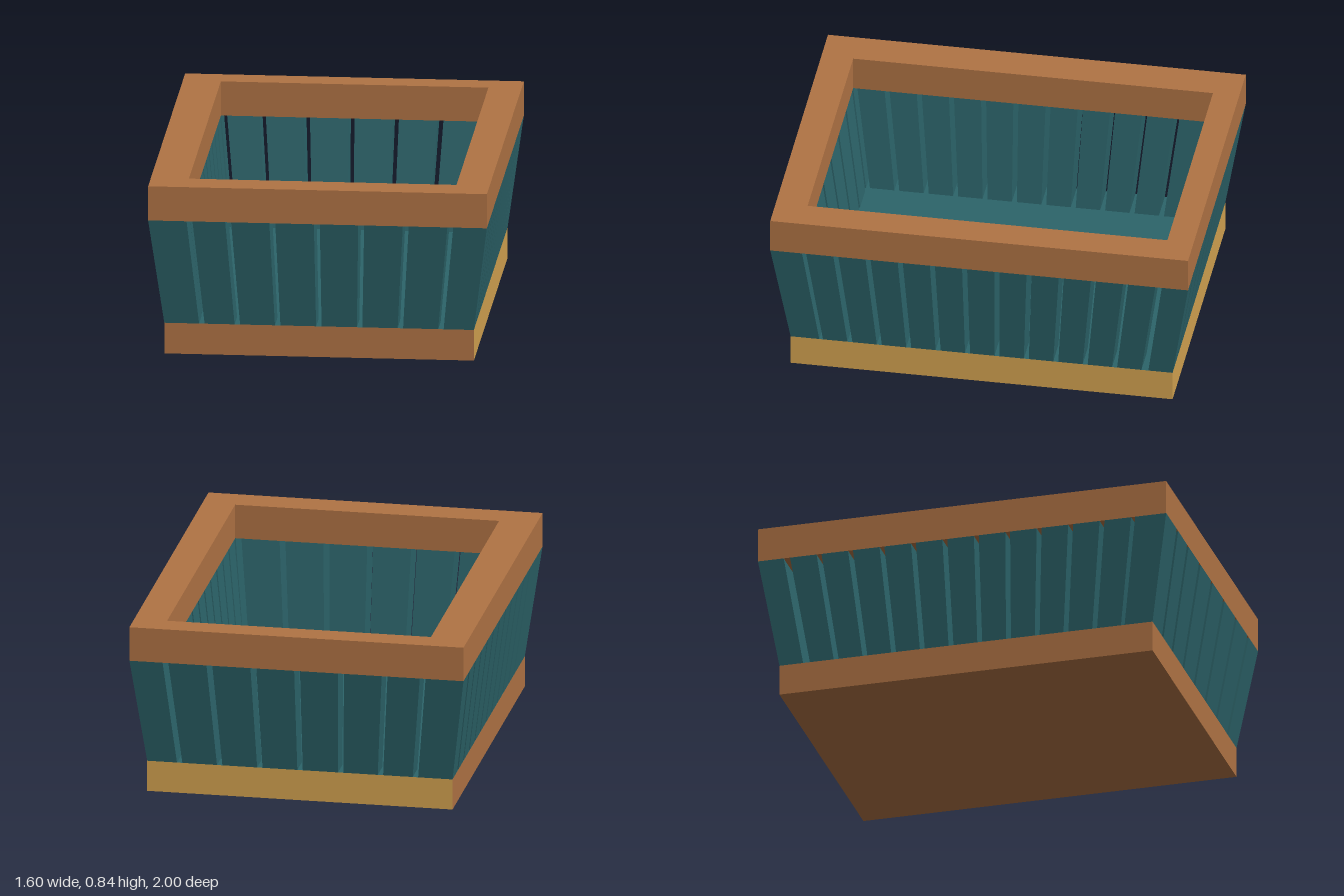
import * as THREE from 'three';

const flat = (name, color) => {
  const m = new THREE.MeshStandardMaterial({ color });
  m.name = name;
  return m;
};

export function createModel() {
  const model = new THREE.Group();
  model.name = 'slattedCrate';
  const brown = flat('brownWood', 0xb07344);
  const gold = flat('goldenWood', 0xd3a350);
  const teal = flat('tealPaint', 0x2c646a);

  const BASE_TOP = 0.15, RIM_BOTTOM = 0.673, RIM_TOP = 0.84;
  // Outer and inner outlines of the flared wall: [xMin, xMax, zMin, zMax]
  const outer = { low: [-0.733, 0.733, -0.914, 0.914], high: [-0.802, 0.802, -1, 1] };
  const inner = { low: [-0.57, 0.588, -0.798, 0.777], high: [-0.622, 0.645, -0.874, 0.848] };

  const add = (name, geometry, material, parent = model) => {
    const mesh = new THREE.Mesh(geometry, material);
    mesh.name = name;
    parent.add(mesh);
    return mesh;
  };

  // Base: golden on the left and back, brown on the other sides, teal floor
  add('base', new THREE.BoxGeometry(1.466, BASE_TOP, 1.828),
    [gold, brown, teal, brown, brown, gold]).position.y = BASE_TOP / 2;

  // Top rim: rectangular frame, slightly uneven opening
  const outline = ([x0, x1, z0, z1], Type) => new Type(
    [[x0, z1], [x1, z1], [x1, z0], [x0, z0]].map(([x, z]) => new THREE.Vector2(x, -z)));
  const frame = outline(outer.high, THREE.Shape);
  frame.holes.push(outline(inner.high, THREE.Path));
  const rimGeometry = new THREE.ExtrudeGeometry(frame,
    { depth: RIM_TOP - RIM_BOTTOM, bevelEnabled: false });
  rimGeometry.rotateX(-Math.PI / 2);
  add('rim', rimGeometry, brown).position.y = RIM_BOTTOM;

  // A leaning slat: a box whose lower and upper ends take separate rectangles
  const slat = (name, low, high, parent) => {
    const geometry = new THREE.BoxGeometry(1, 1, 1);
    const p = geometry.attributes.position;
    for (let i = 0; i < p.count; i++) {
      const top = p.getY(i) > 0, r = top ? high : low;
      p.setXYZ(i, r[p.getX(i) > 0 ? 1 : 0], top ? RIM_BOTTOM : BASE_TOP,
        r[p.getZ(i) > 0 ? 3 : 2]);
    }
    geometry.computeVertexNormals();
    add(name, geometry, teal, parent);
  };

  // Spans between neighbouring gap centres, from one wall end to the other
  const spans = (gaps, [start, end], half) => [...gaps, null].map((g, i) => [
    i ? gaps[i - 1] + half : start, g === null ? end : g - half]);
  const even = (first, last, n) =>
    Array.from({ length: n }, (_, i) => first + (last - first) * i / (n - 1));

  const xLow = spans([-0.555, -0.387, -0.196, -0.001, 0.192, 0.385, 0.577],
    outer.low.slice(0, 2), 0.013);
  const xHigh = spans([-0.606, -0.423, -0.214, -0.003, 0.207, 0.418, 0.629],
    outer.high.slice(0, 2), 0.014);
  const zLow = spans(even(-0.777, 0.771, 12), outer.low.slice(2), 0.012);
  const zHigh = spans(even(-0.855, 0.84, 12), outer.high.slice(2), 0.012);

  // Front and back walls, whose end slats form the corner posts
  for (const [name, front] of [['front', true], ['back', false]]) {
    const wall = new THREE.Group();
    wall.name = name + 'Wall';
    model.add(wall);
    const depth = k => front ? [inner[k][3], outer[k][3]] : [outer[k][2], inner[k][2]];
    xLow.forEach((s, i) => slat(name + 'Slat',
      [...s, ...depth('low')], [...xHigh[i], ...depth('high')], wall));
  }

  // Side walls between the corner posts
  for (const [name, left] of [['left', true], ['right', false]]) {
    const wall = new THREE.Group();
    wall.name = name + 'Wall';
    model.add(wall);
    const depth = k => left ? [inner[k][1], outer[k][1]] : [outer[k][0], inner[k][0]];
    for (let i = 1; i < zLow.length - 1; i++) {
      slat(name + 'Slat', [...depth('low'), ...zLow[i]], [...depth('high'), ...zHigh[i]], wall);
    }
  }
  return model;
}
